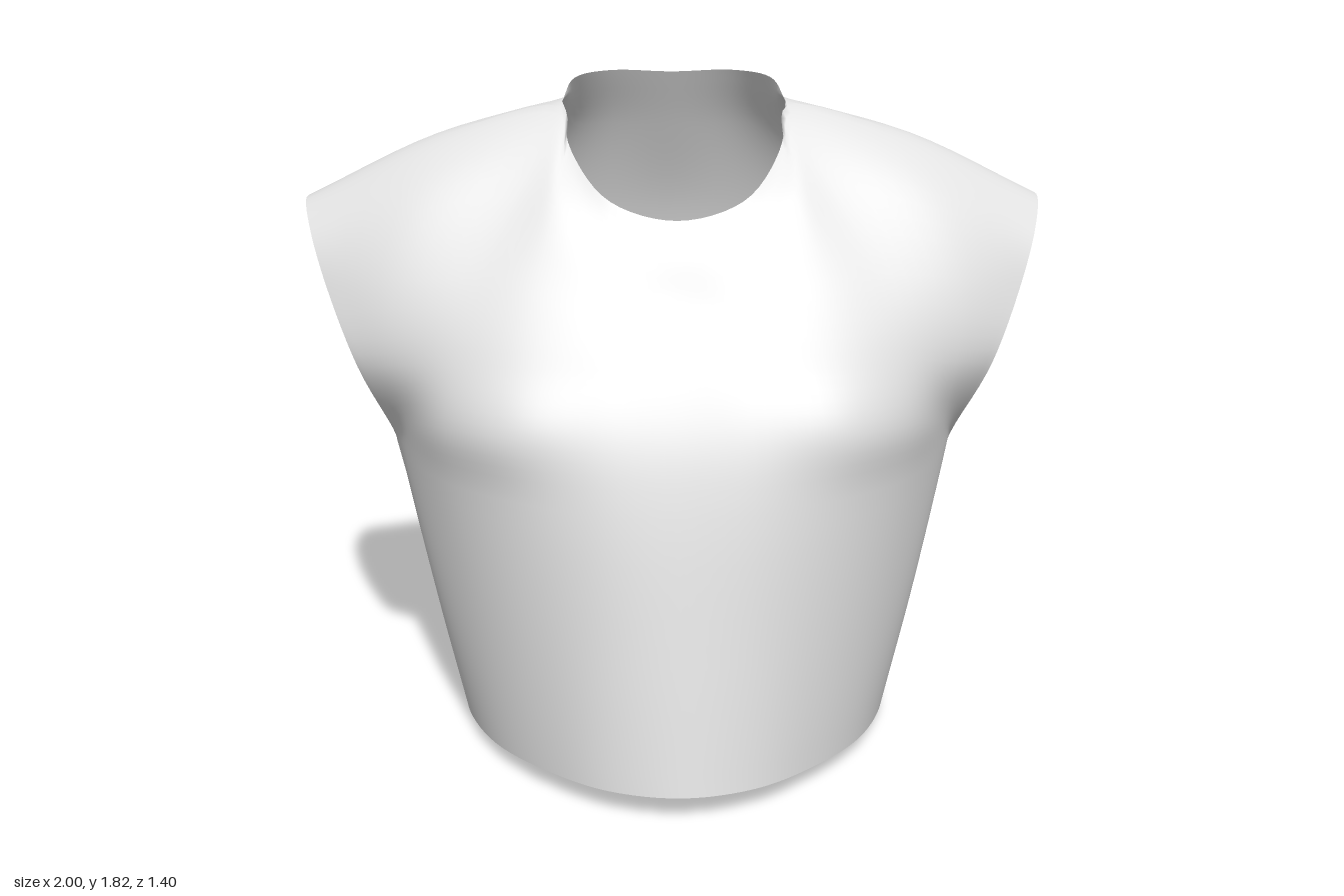
import * as THREE from 'three';
import { mergeVertices } from 'three/addons/utils/BufferGeometryUtils.js';

const STEP = 6;   // subdivisions between control points
const TOP = 7;    // index of the shoulder and neckline row
const PIT = 2;    // index of the armpit row
const EDGE = 5;   // index of the side and armhole column
const NECK = 3;   // index of the column that ends at the neck corner

// Left half of each panel: rows from hem to shoulder, columns from centre to side.
const frontNet = [
  [[0, .075, .70], [.19, .07, .65], [.36, .06, .52], [.5, .045, .35], [.59, .035, .15], [.62, .025, -.03]],
  [[0, .4, .645], [.2, .4, .615], [.39, .4, .505], [.55, .4, .345], [.665, .4, .15], [.70, .4, -.03]],
  [[0, .78, .575], [.22, .79, .567], [.43, .8, .49], [.6, .8, .35], [.735, .8, .14], [.785, .79, -.03]],
  [[0, .96, .525], [.22, .97, .527], [.43, .97, .50], [.6, .96, .385], [.72, .93, .22], [.775, .88, .11]],
  [[0, 1.13, .445], [.2, 1.13, .45], [.4, 1.13, .43], [.57, 1.13, .365], [.73, 1.1, .28], [.84, 1.08, .217]],
  [[0, 1.27, .365], [.19, 1.28, .37], [.36, 1.32, .335], [.52, 1.33, .285], [.74, 1.31, .23], [.92, 1.28, .155]],
  [[0, 1.4, .305], [.18, 1.42, .295], [.31, 1.51, .225], [.37, 1.61, .12], [.66, 1.55, .11], [.97, 1.42, .075]],
  [[0, 1.47, .26], [.17, 1.515, .235], [.272, 1.63, .11], [.3, 1.745, -.04], [.64, 1.657, -.04], [1, 1.49, -.05]],
];
const backNet = [
  [[0, .04, -.70], [.2, .035, -.663], [.38, .02, -.56], [.52, .005, -.39], [.6, 0, -.2], [.62, .025, -.03]],
  [[0, .4, -.637], [.2, .4, -.612], [.4, .4, -.525], [.57, .4, -.38], [.675, .4, -.2], [.70, .4, -.03]],
  [[0, .8, -.567], [.2, .8, -.56], [.4, .8, -.515], [.585, .8, -.4], [.74, .8, -.21], [.785, .79, -.03]],
  [[0, 1, -.53], [.2, 1, -.525], [.4, 1, -.49], [.58, .99, -.41], [.74, .96, -.305], [.845, .91, -.24]],
  [[0, 1.19, -.49], [.2, 1.19, -.49], [.4, 1.2, -.465], [.57, 1.2, -.42], [.74, 1.17, -.37], [.915, 1.14, -.34]],
  [[0, 1.42, -.425], [.19, 1.42, -.425], [.36, 1.41, -.41], [.53, 1.39, -.375], [.73, 1.36, -.335], [.95, 1.3, -.31]],
  [[0, 1.65, -.32], [.17, 1.66, -.32], [.28, 1.66, -.29], [.37, 1.7, -.2], [.66, 1.61, -.2], [.985, 1.44, -.23]],
  [[0, 1.81, -.235], [.17, 1.815, -.222], [.268, 1.8, -.155], [.3, 1.745, -.04], [.64, 1.657, -.04], [1, 1.49, -.05]],
];

const at = (pts, s) => new THREE.CatmullRomCurve3(pts).getPoint(s / (pts.length - 1));

// Point on control column j at height s; shoulder columns run on into the other panel
function columnPoint(net, other, j, s) {
  const own = net.map((row) => new THREE.Vector3(...row[j]));
  if (j < NECK) return at(own, s);
  if (j === EDGE && s <= PIT) return at(own.slice(0, PIT + 1), s);
  const far = other.slice(0, TOP).reverse().map((row) => new THREE.Vector3(...row[j]));
  if (j < EDGE) return at([...own, ...far], s);
  return at([...own.slice(PIT), ...far.slice(0, TOP - PIT)], s - PIT);
}

// Point on the top row, where neckline and shoulder seams meet at a corner
function topPoint(full, u) {
  if (u > NECK) return at(full.slice(EDGE + NECK), u - NECK);
  if (u < -NECK) return at(full.slice(0, EDGE - NECK + 1), u + EDGE);
  return at(full.slice(EDGE - NECK, EDGE + NECK + 1), u + NECK);
}

// Adds one panel as a grid, mirrored about the centre line
function addPanel(net, other, flip, positions, indices) {
  const base = positions.length / 3;
  const cols = 2 * EDGE * STEP, rows = TOP * STEP;
  for (let r = 0; r <= rows; r++) {
    const half = [];
    for (let j = 0; j <= EDGE; j++) half.push(columnPoint(net, other, j, r / STEP));
    const mirrored = half.slice(1).reverse().map((p) => new THREE.Vector3(-p.x, p.y, p.z));
    const full = [...mirrored, ...half];
    for (let c = 0; c <= cols; c++) {
      const u = c / STEP - EDGE;
      const p = r === rows ? topPoint(full, u) : at(full, u + EDGE);
      positions.push(p.x, p.y, p.z);
      if (r < rows && c < cols) {
        const a = base + r * (cols + 1) + c, b = a + 1, d = a + cols + 1, e = d + 1;
        if (flip) indices.push(a, d, b, b, d, e);
        else indices.push(a, b, d, b, e, d);
      }
    }
  }
}

export function createModel() {
  const group = new THREE.Group();
  group.name = 'shirt';
  const fabric = new THREE.MeshStandardMaterial({ color: 0xe2e2e2, side: THREE.DoubleSide });
  fabric.name = 'light grey fabric';

  // Front and back panels welded along the sides and shoulders
  const positions = [], indices = [];
  addPanel(frontNet, backNet, false, positions, indices);
  addPanel(backNet, frontNet, true, positions, indices);
  let geometry = new THREE.BufferGeometry();
  geometry.setAttribute('position', new THREE.Float32BufferAttribute(positions, 3));
  geometry.setIndex(indices);
  geometry = mergeVertices(geometry, 1e-3);
  geometry.computeVertexNormals();

  const body = new THREE.Mesh(geometry, fabric);
  body.name = 'shirtBody';
  group.add(body);
  return group;
}
